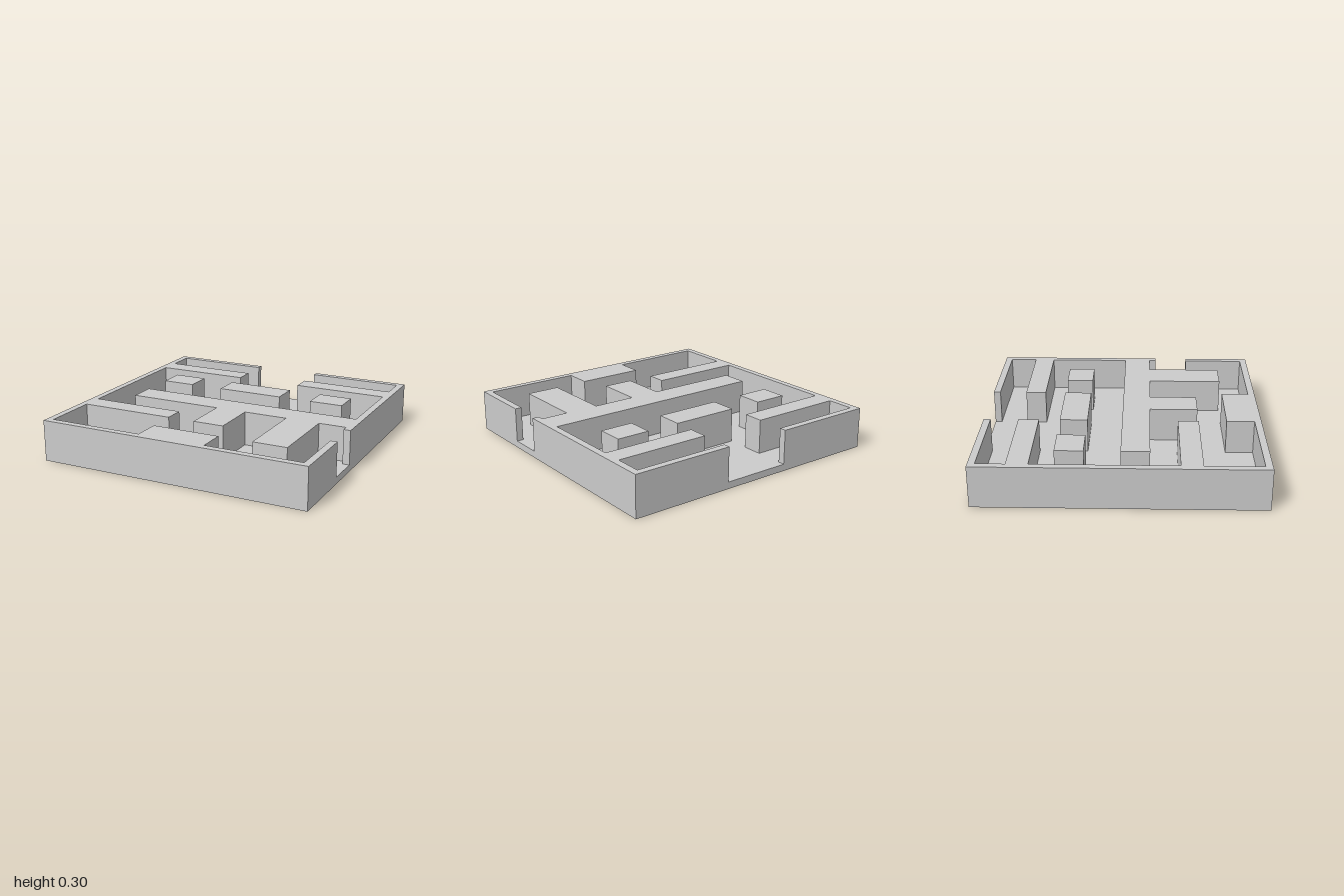
import * as THREE from 'three';

const FLOOR = 0.05; // floor thickness
const TOP = 0.3;    // common height of all walls

export function createModel() {
  const group = new THREE.Group();
  const material = new THREE.MeshStandardMaterial({ color: 0xcccccc });

  // Box given by its extents on the plan and in height
  const block = (name, x0, x1, z0, z1, y0 = FLOOR, y1 = TOP) => {
    const mesh = new THREE.Mesh(new THREE.BoxGeometry(x1 - x0, y1 - y0, z1 - z0), material);
    mesh.position.set((x0 + x1) / 2, (y0 + y1) / 2, (z0 + z1) / 2);
    mesh.name = name;
    group.add(mesh);
  };

  block('floor', -1, 1, -1, 1, 0, FLOOR);

  // Outer walls, with a doorway in the back and one in the +x side
  block('frontWall', -1, 1, 0.95, 1);
  block('closedSideWall', -1, -0.95, -1, 0.95);
  block('doorSideWallBack', 0.95, 1, -1, 0.25);
  block('doorSideWallFront', 0.95, 1, 0.5, 0.95);
  block('backWallRight', -0.95, -0.25, -1, -0.95);
  block('backWallLeft', 0.25, 0.95, -1, -0.95);

  // Partitions either side of the back entrance
  block('entrancePartitionRight', -0.95, -0.25, -0.75, -0.6);
  block('entrancePartitionLeft', 0.25, 0.95, -0.75, -0.6);

  // Row of free-standing blocks
  block('pillarRight', -0.75, -0.5, -0.45, -0.25);
  block('pillarCentre', -0.25, 0.25, -0.45, -0.25);
  block('pillarLeft', 0.5, 0.75, -0.45, -0.25);

  // Long dividing wall with two branches
  block('dividingWall', -0.75, 0.95, 0, 0.2);
  block('shortBranch', -0.05, 0.18, 0.2, 0.55);
  block('longBranch', 0.5, 0.75, 0.2, 0.75);

  // Partitions of the front part
  block('sidePartition', -0.95, -0.25, 0.4, 0.55);
  block('frontBlock', -0.25, 0.25, 0.75, 0.95);

  return group;
}
